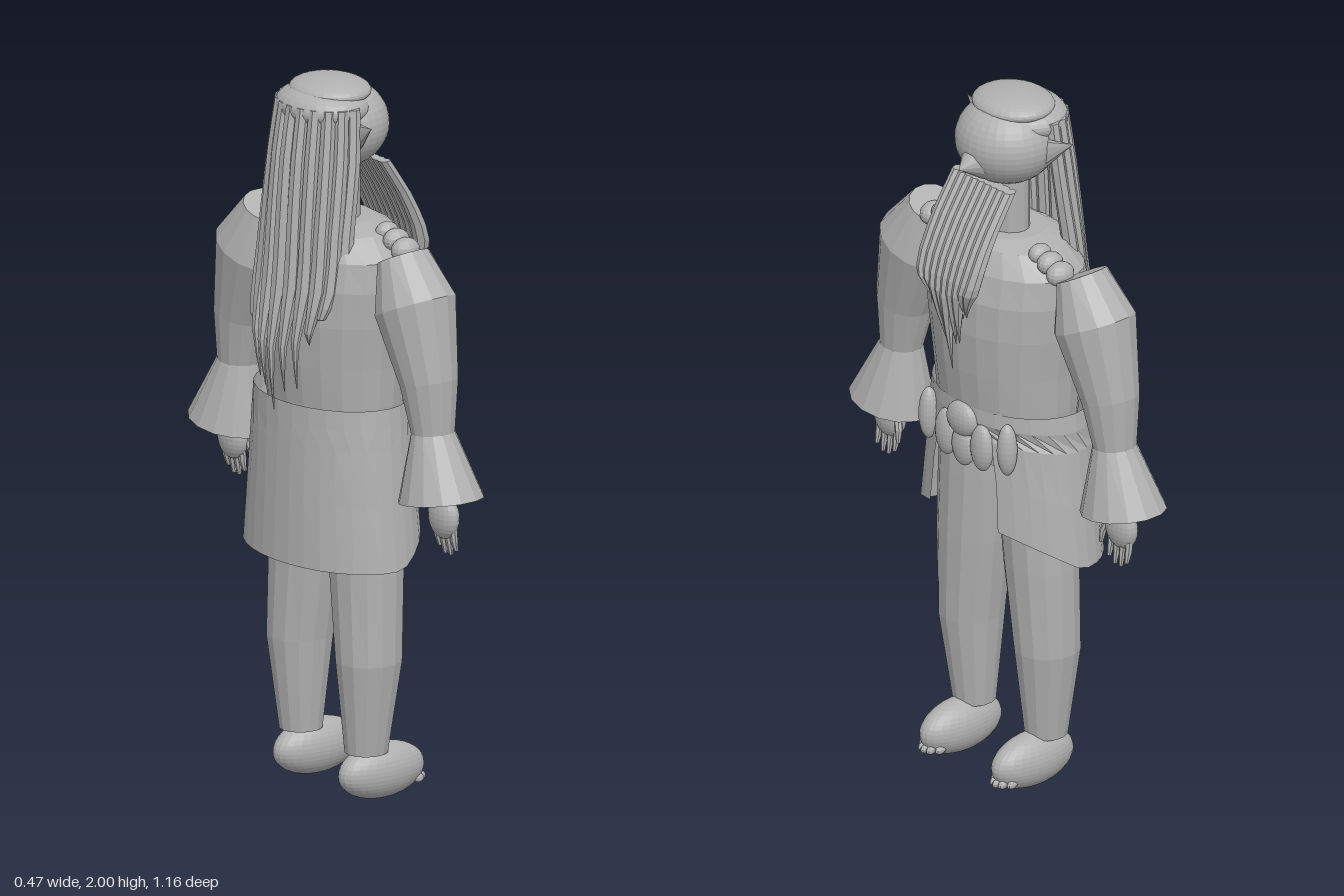
import * as THREE from 'three';

const skin = new THREE.MeshStandardMaterial({ color: 0xb0b0b0, side: THREE.DoubleSide });
skin.name = 'stone grey';

export function createModel() {
  const root = new THREE.Group();
  root.name = 'beardedFigure';

  const add = (name, geo, flat = true) => {
    let g = geo;
    if (flat) {
      g = geo.index ? geo.toNonIndexed() : geo;
      g.computeVertexNormals();
    }
    const m = new THREE.Mesh(g, skin);
    m.name = name;
    root.add(m);
    return m;
  };

  // Stack of elliptical rings, top to bottom: [x, y, z, rx, rz, tilt about x]
  const loft = (name, rings, n = 14) => {
    const pos = [], idx = [];
    rings.forEach(([x, y, z, rx, rz, tilt = 0]) => {
      for (let j = 0; j < n; j++) {
        const a = (j / n) * Math.PI * 2, s = rz * Math.sin(a);
        pos.push(x + rx * Math.cos(a), y + s * Math.sin(tilt), z + s * Math.cos(tilt));
      }
    });
    const last = rings.length - 1;
    for (let i = 0; i < last; i++) {
      for (let j = 0; j < n; j++) {
        const k = (j + 1) % n, A = i * n + j, B = i * n + k;
        idx.push(A, B, A + n, B, B + n, A + n);
      }
    }
    pos.push(...rings[0].slice(0, 3), ...rings[last].slice(0, 3));
    const top = (last + 1) * n;
    for (let j = 0; j < n; j++) {
      const k = (j + 1) % n;
      idx.push(top, k, j, top + 1, last * n + j, last * n + k);
    }
    const g = new THREE.BufferGeometry();
    g.setAttribute('position', new THREE.Float32BufferAttribute(pos, 3));
    g.setIndex(idx);
    return add(name, g);
  };

  const blob = (name, x, y, z, rx, ry, rz, n = 20) => {
    const g = new THREE.SphereGeometry(1, n, Math.round(n * 0.7));
    g.scale(rx, ry, rz);
    g.translate(x, y, z);
    return add(name, g);
  };

  // Tapering lock of hair through a few points
  const strand = (name, pts, r) => {
    const c = new THREE.CatmullRomCurve3(pts.map(p => new THREE.Vector3(...p)));
    const rings = [];
    for (let i = 0; i <= 10; i++) {
      const t = i / 10, p = c.getPoint(t);
      const w = r * (t < 0.6 ? 0.8 + 0.35 * t : Math.max(0.05, 1.01 * (1 - t) / 0.4));
      rings.push([p.x, p.y, p.z, w, w]);
    }
    return loft(name, rings, 7);
  };

  // Head, nose, cap and neck
  blob('head', 0.005, 1.865, 0, 0.138, 0.122, 0.142, 32);
  const nose = new THREE.ConeGeometry(0.062, 0.075, 12);
  nose.rotateZ(-Math.PI / 2 - 0.12);
  nose.translate(0.141, 1.828, 0);
  add('nose', nose);
  blob('cap', -0.02, 1.963, 0, 0.105, 0.037, 0.12, 28);
  blob('hairCrown', -0.045, 1.925, 0, 0.118, 0.06, 0.142, 28);
  loft('neck', [[0.005, 1.8, 0, 0.055, 0.07], [0.005, 1.58, 0, 0.055, 0.07]], 16);

  // Torso
  loft('torso', [
    [0, 1.61, 0, 0.10, 0.11],
    [0, 1.59, 0, 0.135, 0.185],
    [0, 1.53, 0, 0.165, 0.245],
    [0, 1.45, 0, 0.185, 0.25],
    [0, 1.35, 0, 0.187, 0.243],
    [0, 1.23, 0, 0.178, 0.228],
    [0, 1.12, 0, 0.165, 0.22],
    [0, 0.96, 0, 0.15, 0.2],
  ], 22);

  // Skirt, wrapped around and open below the belt at the front
  const cols = 28;
  const rows = [[0, 0], [0.12, 0], [0.25, 0.4], [0.6, 0.46], [1, 0.47]];
  const sp = [], si = [];
  rows.forEach(([t, gap], r) => {
    for (let j = 0; j <= cols; j++) {
      const a = gap + (j / cols) * (2 * Math.PI - 2 * gap);
      const rx = 0.18 + 0.015 * t, rz = 0.25 + 0.045 * t;
      const x = -0.015 + rx * Math.cos(a);
      const hem = 0.68 + 0.11 * Math.max(0, x / 0.165);
      sp.push(x, THREE.MathUtils.lerp(1.125, hem, t), rz * Math.sin(a));
      if (r < rows.length - 1 && j < cols) {
        const A = r * (cols + 1) + j, C = A + cols + 1;
        si.push(A, A + 1, C, A + 1, C + 1, C);
      }
    }
  });
  const skirt = new THREE.BufferGeometry();
  skirt.setAttribute('position', new THREE.Float32BufferAttribute(sp, 3));
  skirt.setIndex(si);
  add('skirt', skirt);

  // Belt ornaments
  blob('buckle', 0.165, 1.08, 0, 0.028, 0.05, 0.056);
  blob('beltCharm', 0.16, 1.0, 0, 0.025, 0.06, 0.04);

  for (const s of [1, -1]) {
    const side = s > 0 ? 'right' : 'left';

    blob(side + 'BeltCharm', 0.158, 1.015, s * 0.07, 0.025, 0.068, 0.038);
    blob(side + 'BeltPouch', 0.145, 1.035, s * 0.155, 0.028, 0.075, 0.028);

    // Pointed ear
    const ear = new THREE.ConeGeometry(0.048, 0.13, 10);
    ear.scale(0.42, 1, 1);
    ear.rotateX(s * 1.12);
    ear.rotateY(s * -0.25);
    ear.translate(-0.03, 1.875, s * 0.155);
    add(side + 'Ear', ear);

    // Puffed sleeve with flared cuff
    loft(side + 'Sleeve', [
      [0, 1.56, s * 0.292, 0.075, 0.066, s * 0.48],
      [0, 1.435, s * 0.345, 0.112, 0.12, s * 0.42],
      [0, 1.235, s * 0.405, 0.08, 0.082, s * 0.25],
      [0, 1.1, s * 0.422, 0.06, 0.06, s * 0.1],
      [0, 0.92, s * 0.457, 0.112, 0.126, s * 0.16],
    ].map(r => { r[5] = -r[5]; return r; }).map((r, i) => {
      // shoulder rings tip down outwards, the cuff tips up outwards
      if (i !== 1 && i !== 2 && i !== 3) r[5] = -r[5];
      return r;
    }).map((r, i) => (i > 0 && i < 4 ? [...r.slice(0, 5), -r[5]] : r)), 14);

    // Hand with fingers
    blob(side + 'Hand', 0.008, 0.872, s * 0.458, 0.032, 0.062, 0.056);
    for (let f = 0; f < 4; f++) {
      const z = s * (0.425 + f * 0.023), d = f === 0 || f === 3 ? 0.015 : 0;
      loft(side + 'Finger', [
        [0.01, 0.86, z, 0.012, 0.012],
        [0.015, 0.81, z, 0.011, 0.01],
        [0.022, 0.765 + d, z, 0.006, 0.006],
      ], 7);
    }
    loft(side + 'Thumb', [
      [0.015, 0.89, s * 0.42, 0.012, 0.012],
      [0.025, 0.85, s * 0.405, 0.011, 0.01],
      [0.03, 0.815, s * 0.402, 0.006, 0.006],
    ], 7);

    // Shoulder beads
    [[0.17, 1.592, 0.034], [0.21, 1.578, 0.039], [0.25, 1.56, 0.042]].forEach(([z, y, r]) =>
      blob(side + 'ShoulderBead', 0.04, y, s * z, r, r * 0.8, r * 0.8, 14));

    // Trouser leg
    loft(side + 'Leg', [
      [0, 1.08, s * 0.105, 0.11, 0.105],
      [0, 0.85, s * 0.118, 0.105, 0.112],
      [0, 0.65, s * 0.132, 0.1, 0.106],
      [-0.005, 0.4, s * 0.15, 0.093, 0.089],
      [-0.008, 0.14, s * 0.142, 0.06, 0.058],
    ], 14);

    // Rounded foot with toes
    blob(side + 'Foot', 0.042, 0.08, s * 0.142, 0.138, 0.077, 0.063, 28);
    for (let k = -2; k <= 2; k++) {
      blob(side + 'Toe', 0.168 - 0.006 * k * k, 0.044, s * 0.142 + k * 0.016, 0.018, 0.012, 0.01, 10);
    }
  }

  // Long beard sweeping forward, longest in the middle
  for (let i = -4; i <= 4; i++) {
    const u = i / 4, z = 0.1 * u, tip = 1.24 + 0.17 * Math.abs(u) + (i % 2 ? 0.035 : 0);
    strand('beardStrand', [
      [0.085, 1.765, z],
      [0.165, 1.64, z],
      [0.215, 1.52, z * 0.95],
      [0.215, (1.52 + tip) / 2, z * 0.75],
      [0.2, tip, z * 0.55],
    ], 0.023);
  }

  // Back hair hanging from the crown, tips reaching past the shoulders
  for (let i = -5; i <= 5; i++) {
    const a = (i / 5) * 1.5, c = Math.cos(a), sn = Math.sin(a);
    const tip = 1.1 + 0.42 * (1 - c) + (i % 2 ? 0.04 : 0);
    strand('hairStrand', [
      [-0.035 - 0.11 * c, 1.94, 0.13 * sn],
      [-0.045 - 0.12 * c, 1.8, 0.142 * sn],
      [-0.075 - 0.105 * c, 1.6, 0.15 * sn],
      [-0.1 - 0.09 * c, 1.45, 0.155 * sn],
      [-0.125 - 0.095 * c, 1.28 + 0.15 * (1 - c), 0.15 * sn],
      [-0.12 - 0.09 * c, tip, 0.14 * sn],
    ], 0.024);
  }

  return root;
}
